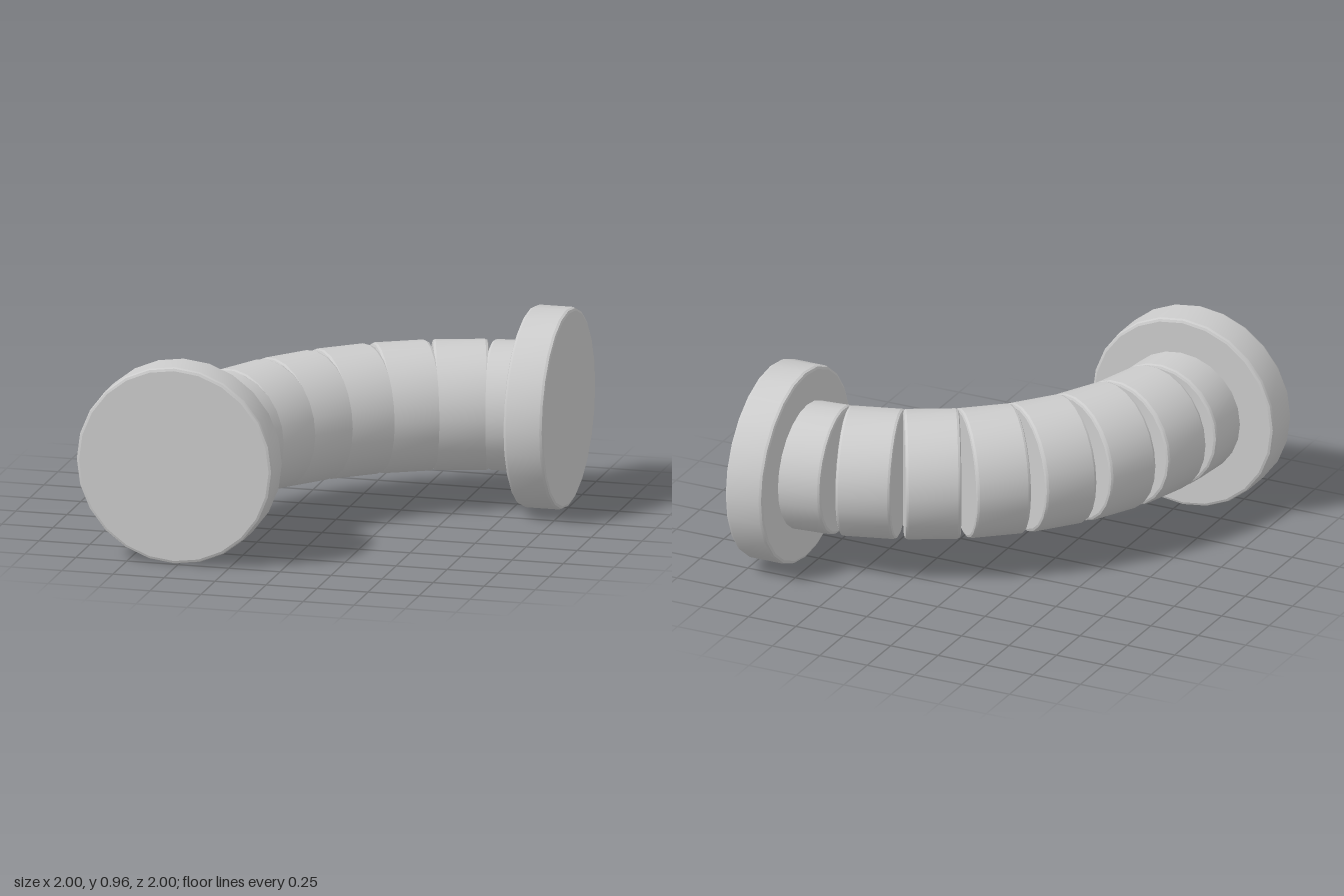
import * as THREE from 'three';
import { toCreasedNormals } from 'three/addons/utils/BufferGeometryUtils.js';

const SIDES = 24;
const AXIS_Y = 0.48;        // height of the pipe's centre line
const BEND_CENTRE = 0.895;  // x and z of the bend's pivot
const BEND_RADIUS = 1.41;
const SEGMENTS = 8;

// Solid disc along z with softly bevelled rims
function bevelledDisc(radius, length, bevel) {
  const h = length / 2;
  const points = [new THREE.Vector2(0, -h)];
  for (const end of [-1, 1]) {
    for (let i = 0; i <= 2; i++) {
      const step = end < 0 ? i : 2 - i;
      const a = (step / 2) * Math.PI / 2;
      points.push(new THREE.Vector2(
        radius - bevel + bevel * Math.sin(a),
        end * (h - bevel + bevel * Math.cos(a))
      ));
    }
  }
  points.push(new THREE.Vector2(0, h));
  const geometry = new THREE.LatheGeometry(points, SIDES);
  geometry.rotateX(Math.PI / 2);
  return toCreasedNormals(geometry, 0.3);
}

export function createModel() {
  const model = new THREE.Group();
  model.name = 'segmentedPipeElbow';
  const material = new THREE.MeshStandardMaterial({ color: 0xcccccc });

  function add(name, geometry, x, z, turn) {
    const mesh = new THREE.Mesh(geometry, material);
    mesh.name = name;
    mesh.position.set(x, AXIS_Y, z);
    mesh.rotation.y = turn;
    model.add(mesh);
  }

  // Short straight sections fanned around the quarter bend
  const section = bevelledDisc(0.31, 0.265, 0.015);
  for (let i = 0; i < SEGMENTS; i++) {
    const a = ((i + 0.5) / SEGMENTS) * Math.PI / 2;
    add(`pipeSection${i + 1}`, section,
      BEND_CENTRE - BEND_RADIUS * Math.cos(a),
      BEND_CENTRE - BEND_RADIUS * Math.sin(a), -a);
  }

  // End flanges, one facing the front and one facing the left
  const flange = bevelledDisc(0.48, 0.195, 0.016);
  add('frontFlange', flange, -0.52, 0.9025, 0);
  add('leftFlange', flange, 0.9025, -0.52, Math.PI / 2);

  return model;
}
